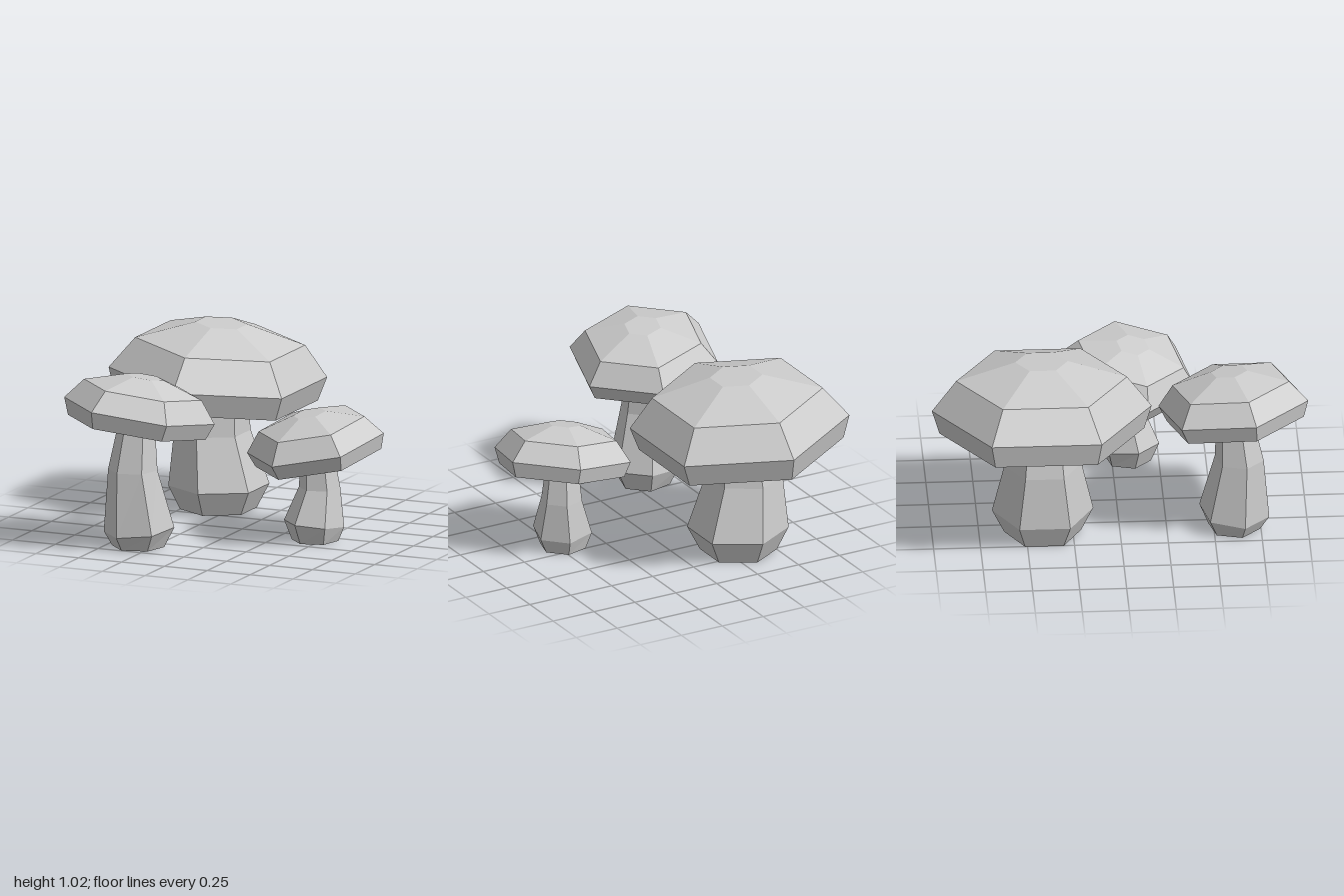
import * as THREE from 'three';

const material = new THREE.MeshStandardMaterial({ color: 0xcccccc, flatShading: true });

// Six-sided stem: rings run from the top down as [x, y, z, radius, slopeX, slopeZ]
function makeStem(rings, turn) {
  const geo = new THREE.CylinderGeometry(1, 1, rings.length - 1, 6, rings.length - 1);
  geo.rotateY(turn);
  const pos = geo.attributes.position;
  for (let i = 0; i < pos.count; i++) {
    const row = Math.round((rings.length - 1) / 2 - pos.getY(i));
    const [x, y, z, r, sx = 0, sz = 0] = rings[row];
    const dx = pos.getX(i) * r, dz = pos.getZ(i) * r;
    pos.setXYZ(i, x + dx, y + dx * sx + dz * sz, z + dz);
  }
  geo.computeVertexNormals();
  const mesh = new THREE.Mesh(geo, material);
  mesh.name = 'stem';
  return mesh;
}

// Six-sided cap with a hollow underside; profile heights start at the widest ring
function makeCap({ centre, up, turn, profile }) {
  const geo = new THREE.LatheGeometry(profile.map(([r, y]) => new THREE.Vector2(r, y)), 6);
  geo.rotateY(turn);
  const mesh = new THREE.Mesh(geo, material);
  mesh.position.set(...centre);
  mesh.quaternion.setFromUnitVectors(
    new THREE.Vector3(0, 1, 0), new THREE.Vector3(...up).normalize());
  mesh.name = 'cap';
  return mesh;
}

const mushrooms = [
  {
    name: 'largeMushroom',
    turn: 0,
    centre: [-0.33, 0.74, -0.415],
    up: [0.08, 1, 0],
    profile: [[0, -0.01], [0.545, -0.13], [0.585, 0], [0.455, 0.17], [0.14, 0.27], [0, 0.27]],
    stem: [
      [-0.335, 0.76, -0.41, 0.15],
      [-0.36, 0.42, -0.41, 0.205],
      [-0.322, 0.13, -0.41, 0.27],
      [-0.325, 0, -0.41, 0.205],
    ],
  },
  {
    name: 'frontMushroom',
    turn: THREE.MathUtils.degToRad(-15),
    centre: [-0.325, 0.737, 0.605],
    up: [0.12, 1, -0.12],
    profile: [[0, -0.01], [0.375, -0.09], [0.41, 0], [0.32, 0.115], [0.1, 0.185], [0, 0.185]],
    stem: [
      [-0.335, 0.74, 0.605, 0.088],
      [-0.35, 0.42, 0.635, 0.133],
      [-0.325, 0.093, 0.61, 0.19, 0.07, -0.08],
      [-0.33, 0, 0.61, 0.14],
    ],
  },
  {
    name: 'smallMushroom',
    turn: THREE.MathUtils.degToRad(-15),
    centre: [0.467, 0.529, 0.087],
    up: [-0.15, 1, 0.15],
    profile: [[0, -0.01], [0.345, -0.083], [0.375, 0], [0.29, 0.108], [0.09, 0.168], [0, 0.168]],
    stem: [
      [0.472, 0.54, 0.08, 0.08],
      [0.483, 0.285, 0.068, 0.112],
      [0.463, 0.093, 0.095, 0.162, -0.07, 0.08],
      [0.465, 0, 0.087, 0.125],
    ],
  },
];

export function createModel() {
  const model = new THREE.Group();
  model.name = 'mushroomCluster';
  for (const m of mushrooms) {
    const group = new THREE.Group();
    group.name = m.name;
    group.add(makeStem(m.stem, m.turn), makeCap(m));
    model.add(group);
  }
  return model;
}
